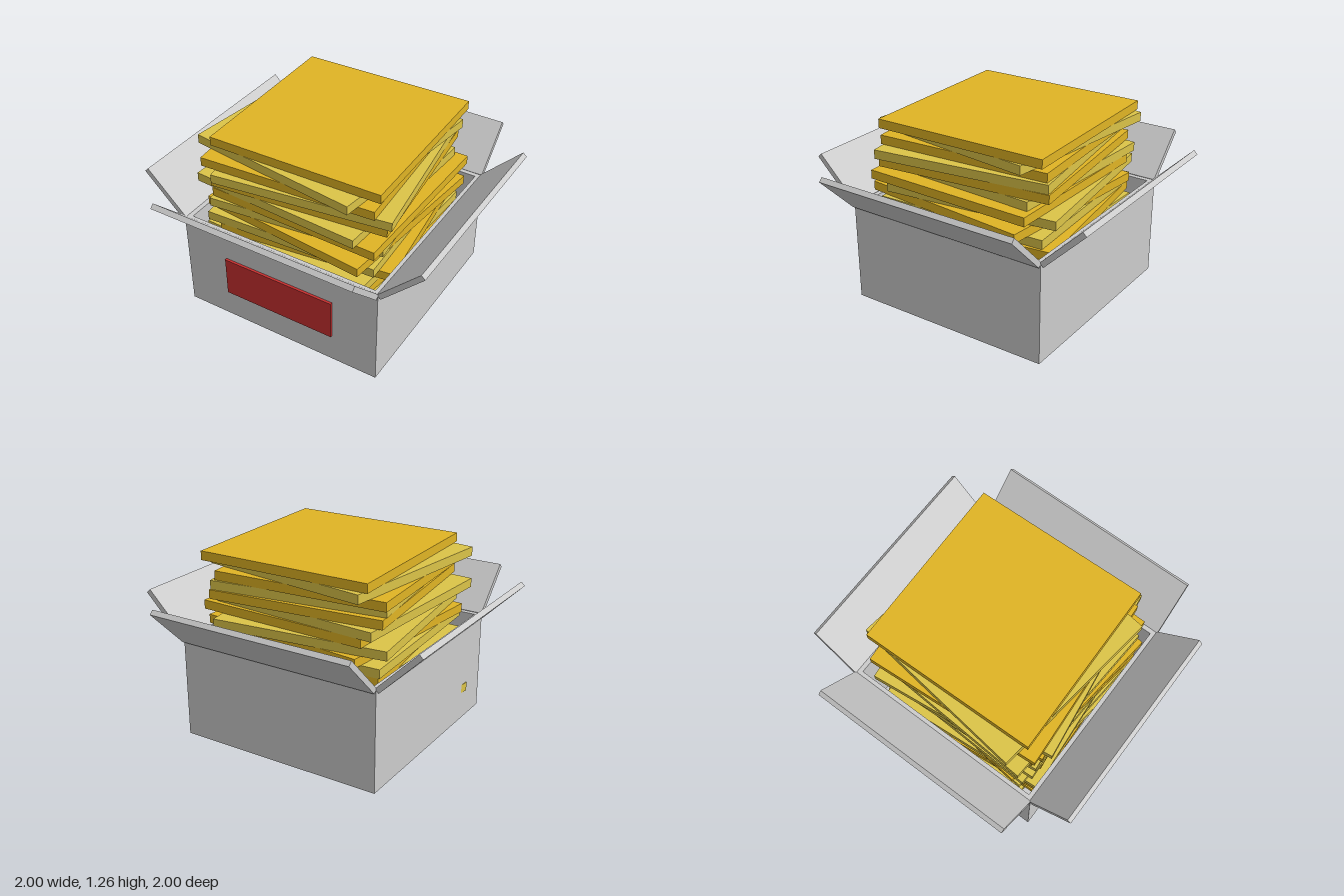
import * as THREE from 'three';

const grey = new THREE.MeshStandardMaterial({ color: 0xcccccc });
const amber = new THREE.MeshStandardMaterial({ color: 0xe0b424 });
const paleYellow = new THREE.MeshStandardMaterial({ color: 0xdcc448 });
const red = new THREE.MeshStandardMaterial({ color: 0xc83030 });

function box(name, parent, material, [w, h, d], [x, y, z]) {
  const mesh = new THREE.Mesh(new THREE.BoxGeometry(w, h, d), material);
  mesh.name = name;
  mesh.position.set(x, y, z);
  parent.add(mesh);
  return mesh;
}

export function createModel() {
  const model = new THREE.Group();
  model.name = 'openBoxOfSlabs';

  // Carton: floor, four walls and four flaps folded out at 45 degrees
  const half = 0.708, wall = 0.036, height = 0.68;
  const carton = new THREE.Group();
  carton.name = 'carton';
  model.add(carton);
  const inner = 2 * (half - wall);
  box('floor', carton, grey, [inner, wall, inner], [0, wall / 2, 0]);

  ['front', 'left', 'back', 'right'].forEach((side, i) => {
    const panel = new THREE.Group();
    panel.name = side + 'Side';
    panel.rotation.y = i * Math.PI / 2;
    carton.add(panel);
    // each wall stops short of the next one at one corner
    box(side + 'Wall', panel, grey, [2 * half - wall, height, wall],
      [wall / 2, height / 2, half - wall / 2]);
    const flap = box(side + 'Flap', panel, grey, [2 * half, 0.036, 0.388], [0, 0.81, 0.85]);
    flap.rotation.x = -Math.PI / 4;
  });

  // Label plate on the front
  box('label', model, red, [0.79, 0.275, 0.03], [0, 0.338, 0.71]);

  // Untidy stack, listed from the top down: x, z, turn
  const stack = new THREE.Group();
  stack.name = 'slabStack';
  model.add(stack);
  const slabs = [
    [0.016, -0.033, 0.021], [-0.04, 0.005, -0.127], [-0.04, 0.012, 0.068], [0.024, 0.026, 0.136],
    [0.008, 0, 0.104], [-0.05, 0.03, -0.06], [0.05, 0.02, -0.022], [-0.03, -0.02, 0.11],
    [0.02, 0.03, -0.1], [-0.02, 0.01, 0.05], [0.03, -0.03, 0.12], [-0.01, 0.02, -0.04],
    [0.02, 0, -0.12], [-0.03, 0.03, 0.08], [0.01, -0.02, 0.02], [0.03, 0.01, -0.08],
    [-0.02, -0.02, 0.1], [-0.05, 0, -0.14], [0.02, 0.02, 0.04], [0, -0.01, -0.05],
  ];
  const pitch = 0.0595;
  slabs.forEach(([x, z, turn], i) => {
    const slab = box('slab' + (i + 1), stack, i % 2 ? paleYellow : amber,
      [1.18, pitch, 1.18], [x, 1.262 - (i + 0.5) * pitch, z]);
    slab.rotation.y = turn;
  });

  return model;
}
